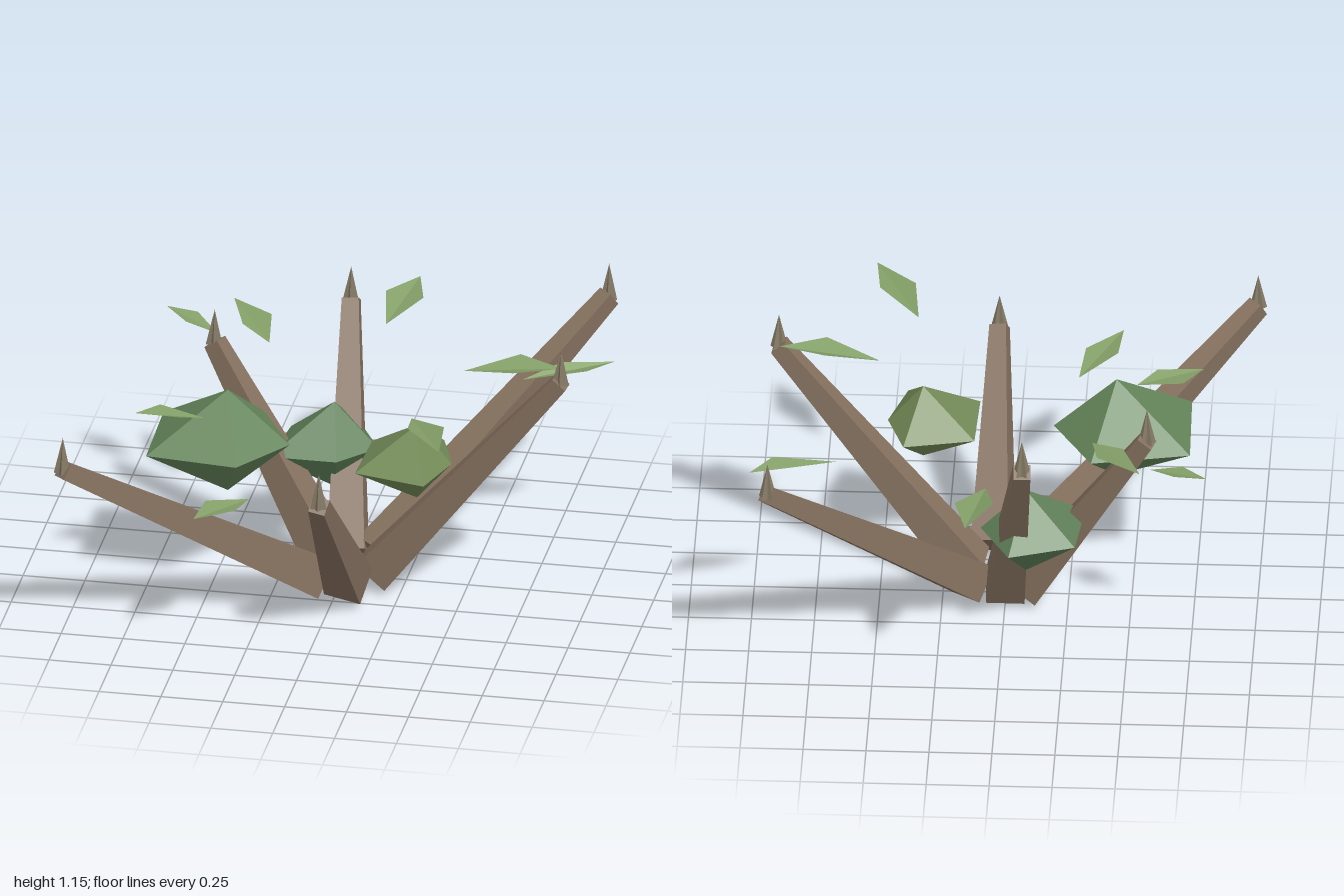
import * as THREE from 'three';

const mat = (color) => new THREE.MeshStandardMaterial({ color, flatShading: true, side: THREE.DoubleSide });
const bark = mat(0x85715f), thorn = mat(0x857a66), leafGreen = mat(0x84a068);
const crownGreens = [mat(0x64855a), mat(0x738a57), mat(0x5f8058)];

// Triangles from a flat list of corner points
function facets(points, material, name) {
  const g = new THREE.BufferGeometry();
  g.setAttribute('position', new THREE.Float32BufferAttribute(points.flat(), 3));
  g.computeVertexNormals();
  const m = new THREE.Mesh(g, material);
  m.name = name;
  return m;
}

// Tapered four-sided branch from base to tip, with an upright star-shaped thorn
function branch(base, tip, roll) {
  const group = new THREE.Group();
  group.name = 'branch';
  const a = new THREE.Vector3(...base), b = new THREE.Vector3(...tip), length = a.distanceTo(b);
  const g = new THREE.CylinderGeometry(0.048, 0.108, length, 4);
  g.rotateY(Math.PI / 4 + roll).rotateX(Math.PI / 2).translate(0, 0, length / 2);
  const stem = new THREE.Mesh(g, bark);
  stem.name = 'stem';
  stem.position.copy(a);
  stem.lookAt(b);
  group.add(stem);

  const star = new THREE.ConeGeometry(0.036, 0.15, 10, 1);
  const p = star.attributes.position;
  for (let i = 0; i < p.count; i++) {
    const step = Math.round(Math.atan2(p.getX(i), p.getZ(i)) / (Math.PI / 5));
    const s = step % 2 ? 0.55 : 1;
    p.setXYZ(i, p.getX(i) * s, p.getY(i), p.getZ(i) * s);
  }
  const spike = new THREE.Mesh(star, thorn);
  spike.name = 'thorn';
  spike.position.set(tip[0], tip[1] + 0.065, tip[2]);
  group.add(spike);
  return group;
}

// Five-sided double pyramid around a rim of [x, z] points
function crown([x, y, z], half, rim, material) {
  const pts = [], at = (i) => [rim[i % 5][0], y, rim[i % 5][1]];
  for (let i = 0; i < 5; i++) {
    pts.push([x, y + half, z], at(i + 1), at(i));
    pts.push([x, y - half, z], at(i), at(i + 1));
  }
  return facets(pts, material, 'foliageClump');
}

// Diamond leaf folded along its midrib
const leaf = (outer, sideA, inner, sideB) =>
  facets([outer, sideA, inner, outer, inner, sideB], leafGreen, 'leaf');

export function createModel() {
  const model = new THREE.Group();
  model.name = 'plant';

  // Branches: base, tip, roll
  [
    [[0.13, 0.09, -0.04], [0.91, 0.93, -0.83], 0.1],
    [[0.14, 0.08, 0.08], [0.91, 1.02, 0.18], 0.05],
    [[0.06, 0.09, 0.23], [0.065, 0.72, 0.87], -0.2],
    [[-0.08, 0.08, 0.18], [-0.96, 0.81, 0.92], 0.1],
    [[-0.08, 0.08, -0.05], [-0.57, 0.87, -0.24], 0.1],
    [[0, 0.08, -0.07], [-0.09, 0.93, -0.61], -0.1],
  ].forEach((b) => model.add(branch(...b)));

  // Foliage clumps: centre, half height, rim
  [
    [[-0.43, 0.66, 0.21], 0.22, [[-0.73, 0], [-0.34, -0.08], [-0.18, 0.21], [-0.35, 0.46], [-0.72, 0.42]]],
    [[0.34, 0.65, 0.24], 0.16, [[0.13, 0.09], [0.41, 0.03], [0.48, 0.24], [0.41, 0.47], [0.12, 0.4]]],
    [[-0.09, 0.455, -0.26], 0.185, [[-0.29, -0.39], [-0.03, -0.48], [0.09, -0.25], [-0.05, -0.09], [-0.32, -0.09]]],
  ].forEach((c, i) => model.add(crown(...c, crownGreens[i])));

  // Floating leaves: outer tip, side, inner tip, side
  [
    [[0.12, 0.88, -0.97], [0.17, 0.88, -0.775], [0.055, 0.84, -0.59], [0.015, 0.89, -0.79]],
    [[-0.82, 0.87, -0.53], [-0.69, 0.865, -0.51], [-0.59, 0.83, -0.4], [-0.72, 0.86, -0.42]],
    [[-0.555, 0.91, -0.57], [-0.38, 0.91, -0.45], [-0.355, 0.87, -0.27], [-0.48, 0.9, -0.36]],
    [[1, 0.815, -0.47], [0.91, 0.82, -0.35], [0.66, 0.78, -0.31], [0.8, 0.82, -0.42]],
    [[0.905, 1.05, 0.12], [0.72, 1.05, 0.2], [0.505, 1.0, 0.11], [0.72, 1.06, 0.04]],
    [[0.55, 1.0, 0.87], [0.53, 1.01, 0.66], [0.37, 0.965, 0.51], [0.39, 1.01, 0.7]],
    [[-0.425, 0.66, 0.96], [-0.28, 0.65, 0.83], [-0.26, 0.62, 0.65], [-0.41, 0.66, 0.78]],
    [[-0.77, 0.83, 0.39], [-0.585, 0.825, 0.385], [-0.505, 0.795, 0.31], [-0.69, 0.825, 0.28]],
  ].forEach((l) => model.add(leaf(...l)));

  return model;
}
